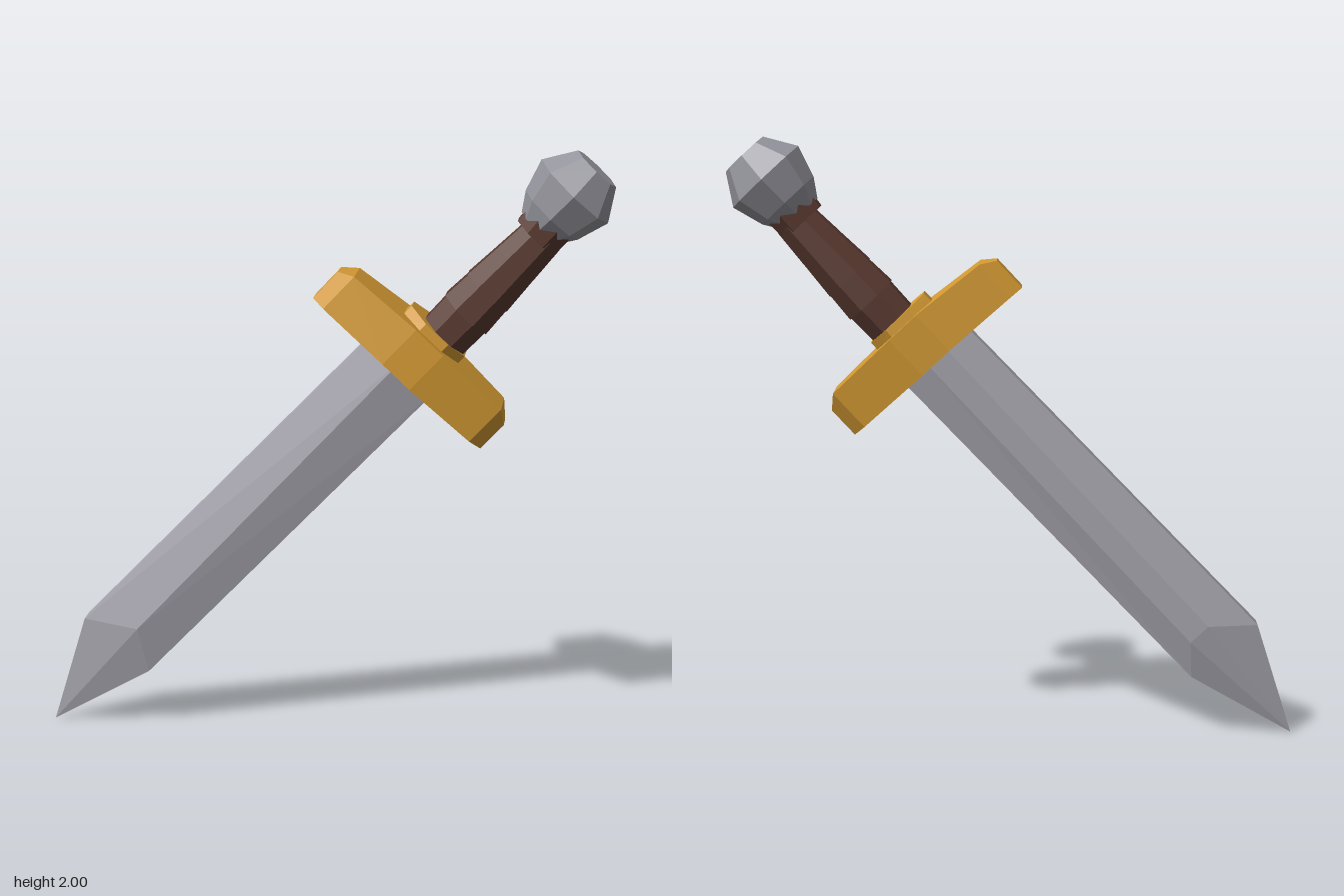
import * as THREE from 'three';

const mat = (name, color) => {
  const m = new THREE.MeshStandardMaterial({ color, flatShading: true });
  m.name = name;
  return m;
};

// Skin a series of convex rings (counter-clockwise seen from the far end) and cap both ends
function loft(rings) {
  const pos = [];
  const ab = new THREE.Vector3(), ac = new THREE.Vector3();
  const tri = (a, b, c) => {
    const [p, q, r] = [a, b, c].map((v) => new THREE.Vector3(...v));
    if (ab.subVectors(q, p).cross(ac.subVectors(r, p)).length() > 1e-8) pos.push(...a, ...b, ...c);
  };
  const n = rings[0].length;
  for (let k = 0; k < rings.length - 1; k++) {
    for (let i = 0; i < n; i++) {
      const j = (i + 1) % n, a = rings[k], b = rings[k + 1];
      tri(a[i], a[j], b[j]);
      tri(a[i], b[j], b[i]);
    }
  }
  const first = rings[0], last = rings[rings.length - 1];
  for (let i = 1; i < n - 1; i++) {
    tri(first[0], first[i + 1], first[i]);
    tri(last[0], last[i], last[i + 1]);
  }
  const g = new THREE.BufferGeometry();
  g.setAttribute('position', new THREE.Float32BufferAttribute(pos, 3));
  g.computeVertexNormals();
  return g;
}

// Polygon ring around the sword's long axis
function ring(y, rx, rz, sides, cx = 0, turn = 0.5) {
  return Array.from({ length: sides }, (_, i) => {
    const a = ((i + turn) / sides) * Math.PI * 2;
    return [cx + Math.sin(a) * rx, y, Math.cos(a) * rz];
  });
}

export function createModel() {
  const blade = mat('blade steel', 0xa9a7b0);
  const steel = mat('pommel steel', 0x94949c);
  const gold = mat('gold', 0xd49a33);
  const leather = mat('brown leather', 0x5a3a30);

  // Sword stands tip down along y, then leans over
  const sword = new THREE.Group();
  sword.name = 'sword';
  const add = (name, geometry, material) => {
    const m = new THREE.Mesh(geometry, material);
    m.name = name;
    sword.add(m);
  };

  // Blade: ridged front, blunt edges, pointed tip
  const section = (left, right, yLeft, yRight, yRidge) => [
    [-0.02, yRidge, 0.072],
    [right, yRight, 0.036], [right, yRight, -0.036],
    [0.03, yRidge, -0.07], [-0.05, yRidge, -0.07],
    [left, yLeft, -0.036], [left, yLeft, 0.036],
  ];
  add('blade', loft([
    Array(7).fill([0, 0, 0]),
    section(-0.171, 0.112, 0.36, 0.378, 0.475),
    section(-0.146, 0.132, 1.78, 1.78, 1.78),
  ]), blade);

  // Crossguard: a bar, widest in the middle, with bevelled ends
  const bar = [
    [-0.367, 1.725, 1.845, 0.045], [-0.32, 1.73, 1.877, 0.082],
    [-0.06, 1.742, 1.9, 0.125], [0.06, 1.742, 1.9, 0.125],
    [0.32, 1.745, 1.895, 0.085], [0.367, 1.745, 1.855, 0.045],
  ];
  add('crossguard', loft(bar.map(([x, y0, y1, z]) =>
    [[x, y0, -z], [x, y1, -z], [x, y1, z], [x, y0, z]])), gold);
  add('guardCollar', loft([
    ring(1.87, 0.13, 0.105, 8), ring(1.93, 0.128, 0.1, 8),
  ]), gold);

  // Grip: three stacked wraps, tapering to the top
  const wraps = [
    [1.915, 2.03, 0.09, 0.1], [2.03, 2.13, 0.098, 0.098],
    [2.13, 2.26, 0.094, 0.09], [2.26, 2.39, 0.084, 0.08],
  ];
  wraps.forEach(([y0, y1, r0, r1], i) => add(`gripWrap${i + 1}`, loft([
    ring(y0, r0, r0, 8, 0.026), ring(y1, r1 * 0.93, r1 * 0.93, 8, 0.026),
  ]), leather));
  add('gripCollar', loft([
    ring(2.365, 0.086, 0.08, 8, 0.014), ring(2.435, 0.09, 0.085, 8, 0.01),
  ]), leather);

  // Faceted pommel
  add('pommel', loft([
    [2.39, 0.075], [2.45, 0.115], [2.555, 0.147], [2.655, 0.084],
  ].map(([y, r]) => ring(y, r, r * 0.93, 8, 0, 0))), steel);

  sword.rotation.z = THREE.MathUtils.degToRad(-43);
  sword.position.set(-0.93, 0, 0);
  const model = new THREE.Group();
  model.name = 'leaningSword';
  model.add(sword);
  return model;
}
